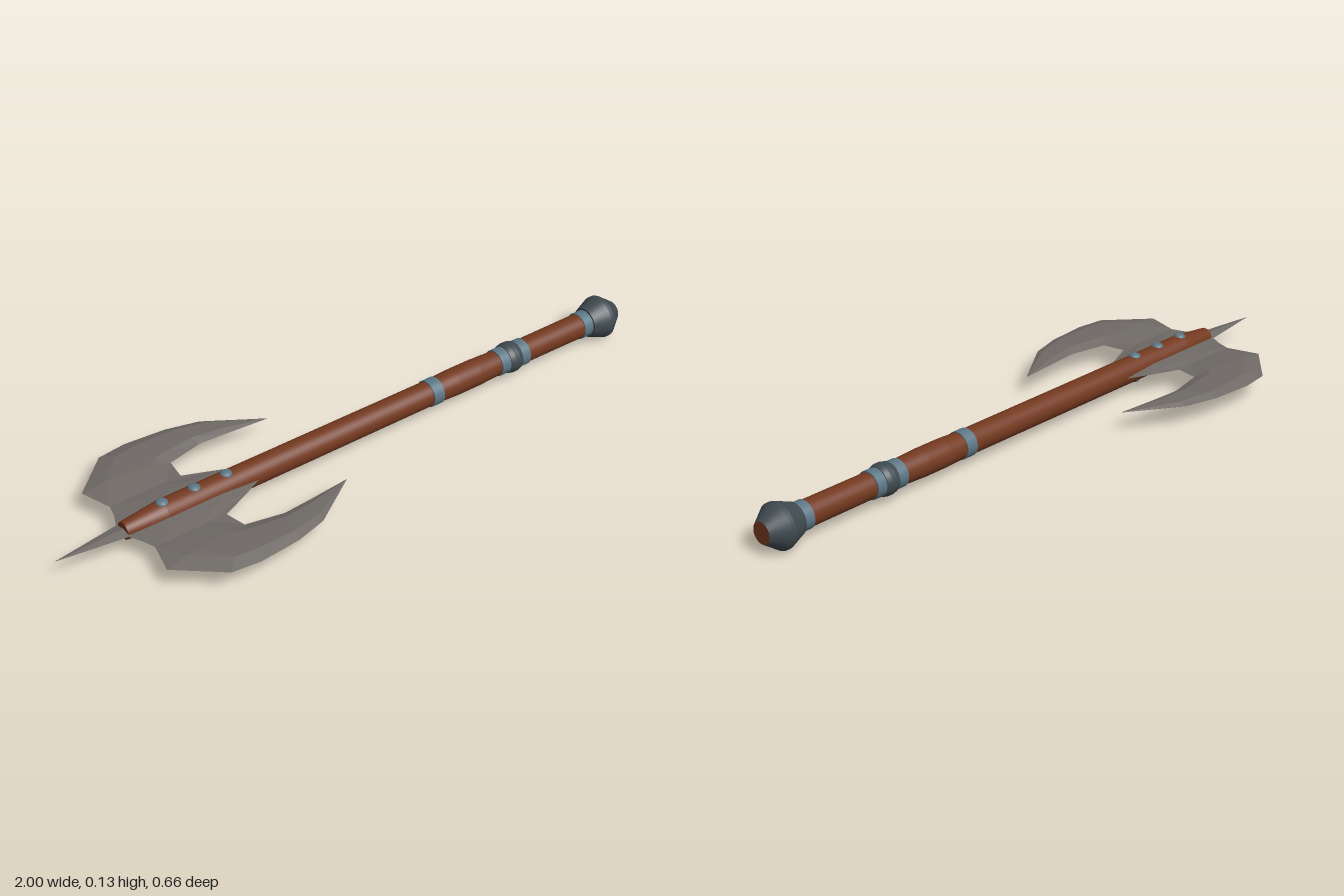
import * as THREE from 'three';

const AXIS_Y = 0.067;

export function createModel() {
  const mat = (name, color, double) => {
    const m = new THREE.MeshStandardMaterial({ color });
    m.name = name;
    return m;
  };
  const wood = mat('wood', 0x74391f);
  const steel = mat('bladeSteel', 0x6f6a66);
  const iron = mat('darkIron', 0x3f4a50);
  const bandMetal = mat('blueMetal', 0x5b7685);
  steel.flatShading = true;
  steel.side = THREE.DoubleSide;

  const axe = new THREE.Group();
  axe.name = 'doubleAxe';
  axe.position.y = AXIS_Y;

  const add = (name, geometry, material, parent = axe) => {
    const mesh = new THREE.Mesh(geometry, material);
    mesh.name = name;
    parent.add(mesh);
    return mesh;
  };

  // Turned part along x; each [x, radius] segment keeps its own crisp edge
  const turned = (name, profile, material) => {
    const group = new THREE.Group();
    group.name = name;
    for (let i = 0; i < profile.length - 1; i++) {
      const [x0, r0] = profile[i], [x1, r1] = profile[i + 1];
      const pts = [new THREE.Vector2(r0, x0), new THREE.Vector2(r1, x1)];
      const g = new THREE.LatheGeometry(pts, 32);
      g.rotateZ(-Math.PI / 2);
      add(name + 'Section', g, material, group);
    }
    axe.add(group);
  };

  // Shaft with tapered head end and slightly swollen grip
  turned('shaft', [[-0.785, 0], [-0.785, 0.026], [-0.66, 0.039], [0.28, 0.038],
    [0.36, 0.041], [0.44, 0.041], [0.54, 0.037], [0.88, 0.038]], wood);

  // Blue metal bands
  for (const [x0, x1] of [[0.26, 0.297], [0.522, 0.556], [0.6, 0.632], [0.855, 0.892]]) {
    turned('band', [[x0, 0.036], [x0, 0.041], [x1, 0.041], [x1, 0.036]], bandMetal);
  }

  // Dark collar between the paired bands
  turned('collar', [[0.553, 0.038], [0.556, 0.043], [0.57, 0.047], [0.586, 0.047],
    [0.6, 0.043], [0.603, 0.038]], iron);

  // Pommel and its wooden end
  turned('pommel', [[0.888, 0.036], [0.888, 0.046], [0.94, 0.066], [0.952, 0.066], [1, 0.032]], iron);
  turned('pommelEnd', [[1, 0.032], [1, 0]], wood);

  // Rivets above and below the head
  for (const x of [-0.66, -0.555, -0.45]) {
    for (const s of [1, -1]) {
      const rivet = add('rivet', new THREE.SphereGeometry(0.018, 14, 8), bandMetal);
      rivet.scale.y = 0.55;
      rivet.position.set(x, s * 0.036, 0);
    }
  }

  // Skin stations of matching points; upper and lower faces mirror each other
  const plate = (stations) => {
    const pos = [];
    for (const s of [1, -1]) {
      for (let i = 0; i < stations.length - 1; i++) {
        const A = stations[i], B = stations[i + 1];
        for (let j = 0; j < A.length - 1; j++) {
          for (const tri of [[A[j], B[j], B[j + 1]], [A[j], B[j + 1], A[j + 1]]]) {
            const [p, q, r] = tri.map(([x, y, z]) => new THREE.Vector3(x, y * s, z));
            const n = q.clone().sub(p).cross(r.clone().sub(p));
            if (n.length() < 1e-9) continue;
            const order = n.y * s > 0 ? [p, q, r] : [p, r, q];
            for (const v of order) pos.push(v.x, v.y, v.z);
          }
        }
      }
    }
    const g = new THREE.BufferGeometry();
    g.setAttribute('position', new THREE.Float32BufferAttribute(pos, 3));
    g.computeVertexNormals();
    return g;
  };

  // Wing stations: cutting edge x, z, inner edge x, z, half thickness
  const wing = [
    [-0.757, 0.11, -0.527, 0.11, 0.001],
    [-0.785, 0.208, -0.515, 0.178, 0.011],
    [-0.66, 0.32, -0.512, 0.178, 0.012],
    [-0.57, 0.331, -0.5, 0.18, 0.012],
    [-0.44, 0.32, -0.4, 0.202, 0.011],
    [-0.34, 0.293, -0.31, 0.196, 0.008],
    [-0.175, 0.184, -0.175, 0.184, 0],
  ].map(([ox, oz, ix, iz, t]) => [0, 0.25, 0.78, 1].map((k) =>
    [ox + (ix - ox) * k, k > 0 && k < 1 ? t : 0, oz + (iz - oz) * k]));

  // Root stations spread from the thin neck to the shaft
  const root = [
    [-0.757, -0.527, 0.11, 0.001],
    [-0.77, -0.43, 0.068, 0.006],
    [-0.787, -0.36, 0.034, 0.009],
    [-0.787, -0.34, 0, 0.01],
  ].map(([x0, x1, z, t]) => [0, 0.3, 0.7, 1].map((k) =>
    [x0 + (x1 - x0) * k, k > 0 && k < 1 ? t : 0, z]));

  const mirror = (stations) => stations.map((st) => st.map(([x, y, z]) => [x, y, -z]));
  for (const [side, f] of [['front', (s) => s], ['back', mirror]]) {
    const blade = new THREE.Group();
    blade.name = side + 'Blade';
    add('bladeWing', plate(f(wing)), steel, blade);
    add('bladeRoot', plate(f(root)), steel, blade);
    axe.add(blade);
  }

  // Thin spike at the head
  add('spike', plate([
    [[-0.74, 0, 0.034], [-0.74, 0.008, 0], [-0.74, 0, -0.034]],
    [[-0.79, 0, 0.031], [-0.79, 0.007, 0], [-0.79, 0, -0.031]],
    [[-1, 0, 0], [-1, 0, 0], [-1, 0, 0]],
  ]), steel);

  const model = new THREE.Group();
  model.name = 'model';
  model.add(axe);
  return model;
}
